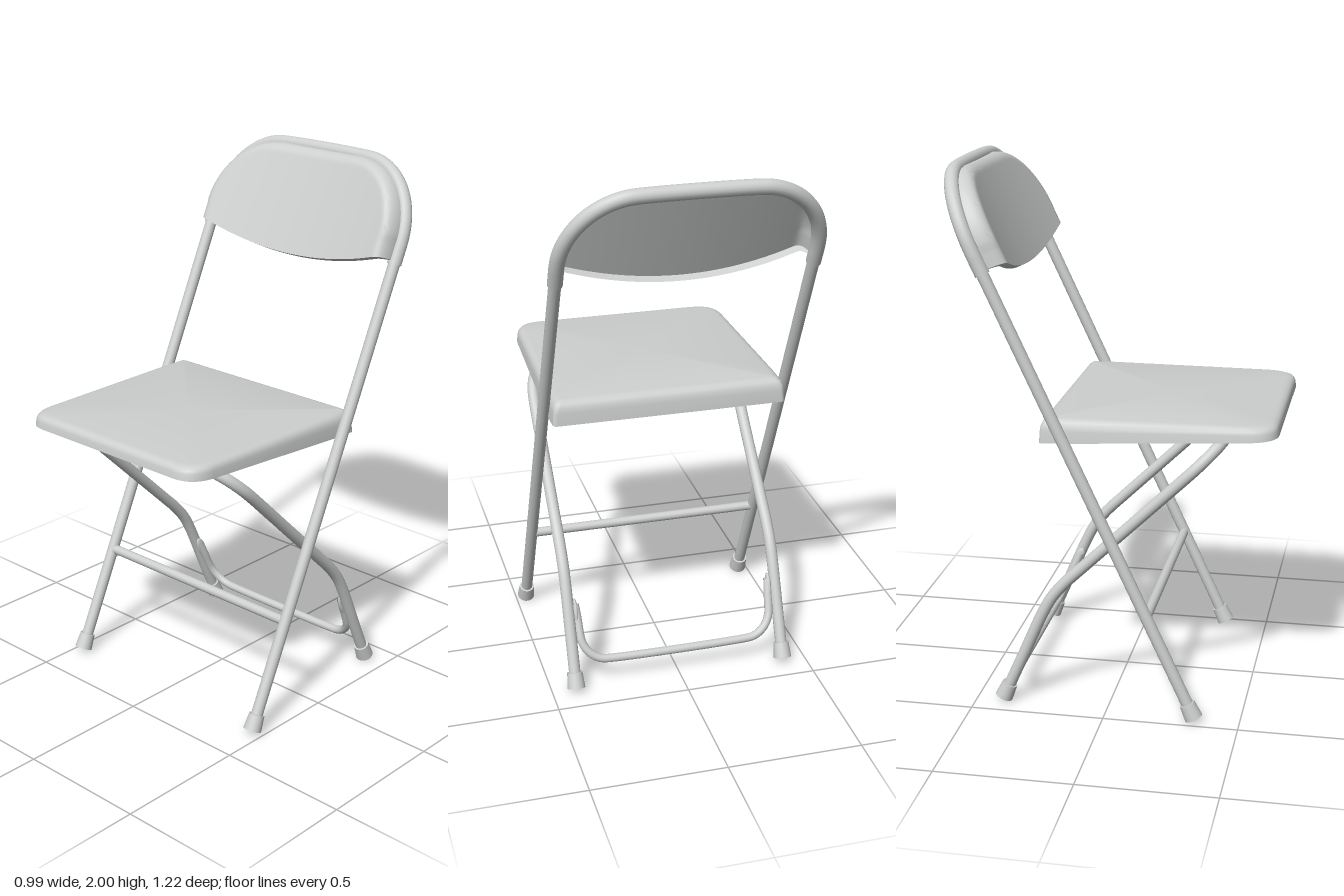
import * as THREE from 'three';
import { toCreasedNormals } from 'three/addons/utils/BufferGeometryUtils.js';
import { ParametricGeometry } from 'three/addons/geometries/ParametricGeometry.js';

const V = (x, y, z) => new THREE.Vector3(x, y, z);
// z of the leaning front frame at height y
const leanZ = (y) => 0.34 - 0.468 * y;
const LEAN = Math.atan(0.468);

export function createModel() {
  const group = new THREE.Group();
  const grey = new THREE.MeshStandardMaterial({ color: 0xcccfce, side: THREE.DoubleSide });
  grey.name = 'light grey';

  const add = (name, geometry) => {
    const mesh = new THREE.Mesh(geometry, grey);
    mesh.name = name;
    group.add(mesh);
    return mesh;
  };

  // Straight round bar from a to b
  const rod = (name, a, b, r0, r1 = r0) => {
    const dir = b.clone().sub(a);
    const mesh = add(name, new THREE.CylinderGeometry(r1, r0, dir.length(), 20));
    mesh.position.copy(a).add(b).multiplyScalar(0.5);
    mesh.quaternion.setFromUnitVectors(V(0, 1, 0), dir.normalize());
    return mesh;
  };

  // Bent bar: half path on the left, mirrored to the right
  const bentBar = (name, half, r, segments) => {
    const other = half.map((p) => V(-p.x, p.y, p.z)).reverse();
    const curve = new THREE.CatmullRomCurve3([...half, ...other], false, 'centripetal');
    return add(name, new THREE.TubeGeometry(curve, segments, r, 16));
  };

  // Quarter-ellipse points from the side to the top, in x and y
  const corner = (cx, cy, rx, ry, n, zOf) =>
    Array.from({ length: n + 1 }, (_, i) => {
      const a = (i / n) * Math.PI / 2;
      const y = cy + ry * Math.sin(a);
      return V(cx + rx * Math.cos(a), y, zOf(y));
    });

  // Front legs with feet
  for (const s of [1, -1]) {
    rod('frontLeg', V(s * 0.46, 0.05, leanZ(0.05)), V(s * 0.46, 1.7, leanZ(1.7)), 0.022);
    rod('frontFoot', V(s * 0.46, 0.015, leanZ(0.015)), V(s * 0.46, 0.07, leanZ(0.07)), 0.034, 0.029);
    rod('rearFoot', V(s * 0.41, 0.015, -0.397), V(s * 0.41, 0.07, -0.373), 0.034, 0.029);
  }
  rod('frontCrossbar', V(-0.455, 0.397, leanZ(0.397)), V(0.455, 0.397, leanZ(0.397)), 0.018);

  // Rear legs: one bent bar that passes under the seat
  const rearZ = (y) => 0.41 - (1.042 - y) * 1.03;
  bentBar('rearLegs', [
    V(0.41, 0.05, -0.381), V(0.41, 0.2, -0.315), V(0.41, 0.36, -0.245), V(0.41, 0.43, -0.207),
    V(0.41, 0.49, -0.158), V(0.41, 0.55, -0.097), V(0.41, 0.75, rearZ(0.75)),
    ...corner(0.29, 0.922, 0.12, 0.12, 6, rearZ),
  ], 0.022, 140);

  // Rear brace following the slope of the lower legs
  const braceZ = (y) => -0.402 + 0.44 * y;
  const brace = Array.from({ length: 7 }, (_, i) => {
    const a = (i / 6) * Math.PI / 2;
    const y = 0.2 - 0.1 * Math.sin(a);
    return V(0.275 + 0.1 * Math.cos(a), y, braceZ(y));
  });
  bentBar('rearBrace', [V(0.383, 0.3, braceZ(0.3)), V(0.378, 0.25, braceZ(0.25)), ...brace], 0.016, 100);
  for (const s of [1, -1]) {
    const tab = add('braceEnd', new THREE.SphereGeometry(1, 16, 12));
    tab.scale.set(0.01, 0.05, 0.02);
    tab.position.set(s * 0.383, 0.275, braceZ(0.275));
    tab.rotation.x = 0.41;
  }

  // Rounded rim of the backrest
  bentBar('backrestRim', [
    V(0.46, 1.64, leanZ(1.64)), V(0.46, 1.68, leanZ(1.68)),
    ...corner(0.2, 1.71, 0.26, 0.264, 8, leanZ),
  ], 0.027, 110);

  // Backrest shell: pressed forward from the rim, hollow behind, curved across
  const shell = (u, v, target) => {
    const across = Math.sin((u - 0.5) * Math.PI);
    const rise = Math.sin(Math.max(0, (v - 0.1) / 0.9) * Math.PI / 2);
    const lip = Math.max(0, 1 - v / 0.1);
    const y = THREE.MathUtils.lerp(1.59 + 0.06 * across * across, 1.974, rise);
    const t = Math.min(1, Math.max(0, (y - 1.71) / 0.264));
    const x = across * (0.2 + 0.26 * Math.sqrt(1 - t * t));
    const ax = Math.abs(x);
    let edge = 0.46 - ax;
    if (y > 1.71) edge = ax < 0.2 ? 1.974 - y : 0.262 - Math.hypot(ax - 0.2, y - 1.71);
    const k = 1 - Math.min(1, Math.max(0, edge) / 0.045);
    const depth = (0.05 + 0.045 * (x / 0.46) ** 2) * Math.sqrt(1 - k * k);
    const d = Math.max(0, depth - 0.03 * lip);
    target.set(x, y + d * Math.sin(LEAN), leanZ(y) + d * Math.cos(LEAN));
  };
  add('backrestPanel', toCreasedNormals(new ParametricGeometry(shell, 56, 40), 0.7));

  // Seat: rounded outline lofted upward with a soft top edge
  const outline = new THREE.Shape();
  outline.moveTo(-0.33, -0.605);
  outline.lineTo(0.33, -0.605);
  outline.quadraticCurveTo(0.42, -0.605, 0.426, -0.5);
  outline.lineTo(0.441, 0.15);
  outline.lineTo(0.438, 0.225);
  outline.quadraticCurveTo(0.438, 0.24, 0.42, 0.24);
  outline.lineTo(-0.42, 0.24);
  outline.quadraticCurveTo(-0.438, 0.24, -0.438, 0.225);
  outline.lineTo(-0.441, 0.15);
  outline.lineTo(-0.426, -0.5);
  outline.quadraticCurveTo(-0.42, -0.605, -0.33, -0.605);
  const points = outline.getPoints(8).slice(0, -1);
  const n = points.length;
  const midZ = 0.1825;
  // [inset, height share from underside to top]
  const levels = [[-0.003, 0], [0, 0.5], [0.003, 0.7], [0.01, 0.86], [0.021, 0.96], [0.035, 1]];
  const pos = [], index = [];
  const place = (x, z, h) => pos.push(x, THREE.MathUtils.lerp(1.053 + 0.022 * (z - midZ) / 0.42, 1.122, h), z);
  for (const [inset, h] of levels) {
    for (const p of points) place(p.x * (1 - inset / 0.44), midZ + (-p.y - midZ) * (1 - inset / 0.4225), h);
  }
  place(0, midZ, 0);
  place(0, midZ, 1);
  const last = (levels.length - 1) * n, centre = levels.length * n;
  for (let k = 0; k < n; k++) {
    const m = (k + 1) % n;
    for (let r = 0; r < last; r += n) index.push(r + k, r + m, r + n + m, r + k, r + n + m, r + n + k);
    index.push(m, k, centre, last + k, last + m, centre + 1);
  }
  const seat = new THREE.BufferGeometry();
  seat.setAttribute('position', new THREE.Float32BufferAttribute(pos, 3));
  seat.setIndex(index);
  add('seat', toCreasedNormals(seat, 0.7));

  return group;
}
